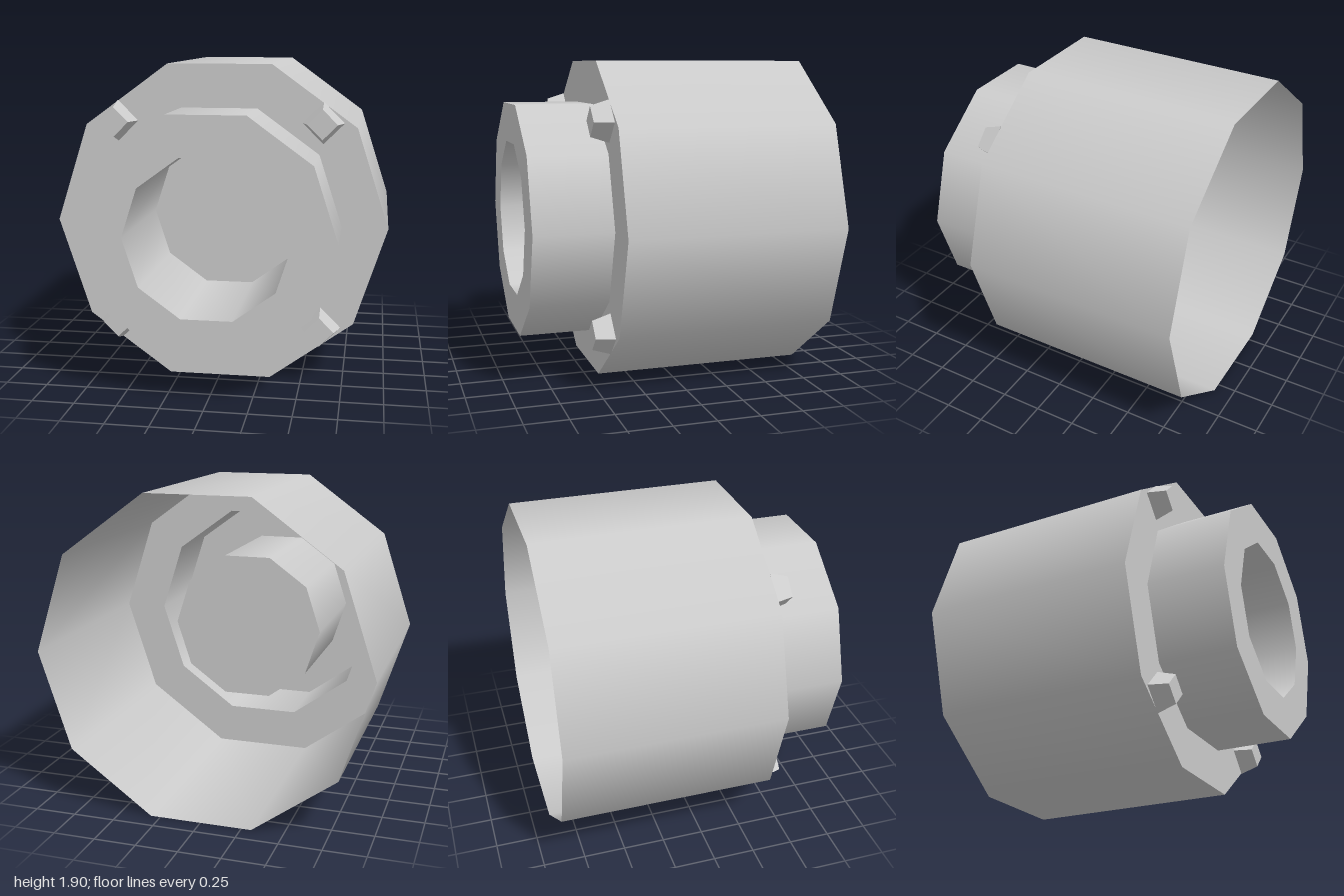
import * as THREE from 'three';

const SIDES = 10;
const AXIS_Y = 0.951; // height of the central axis
const BACK = -0.885, SHOULDER = 0.42, FRONT = 0.885, BORE_END = 0.04;
const R_BODY = 1, R_NECK = 0.73, R_BORE = 0.482;

export function createModel() {
  const group = new THREE.Group();
  const grey = new THREE.MeshStandardMaterial({ color: 0xcccccc, side: THREE.DoubleSide });
  grey.name = 'light grey';

  function add(name, geometry, x, y, z) {
    const mesh = new THREE.Mesh(geometry, grey);
    mesh.name = name;
    mesh.position.set(x, y, z);
    group.add(mesh);
  }

  // open ten-sided wall along z, smooth around its sides
  function addTube(name, radius, z0, z1) {
    const g = new THREE.CylinderGeometry(radius, radius, z1 - z0, SIDES, 1, true, Math.PI / 2);
    g.rotateX(Math.PI / 2);
    add(name, g, 0, AXIS_Y, (z0 + z1) / 2);
  }

  // flat ten-sided ring facing +z
  function addRing(name, inner, outer, z) {
    add(name, new THREE.RingGeometry(inner, outer, SIDES), 0, AXIS_Y, z);
  }

  // wide shell, open at the back
  addTube('bodyShell', R_BODY, BACK, SHOULDER);
  addRing('shoulder', R_NECK, R_BODY, SHOULDER);

  // narrower neck with its front rim
  addTube('neck', R_NECK, SHOULDER, FRONT);
  addRing('neckRim', R_BORE, R_NECK, FRONT);

  // blind bore reaching back into the shell
  addTube('bore', R_BORE, BORE_END, FRONT);
  add('boreFloor', new THREE.CircleGeometry(R_BORE, SIDES), 0, AXIS_Y, BORE_END);

  // four tapered diamond studs on the shoulder
  const profile = [[0.122, 0], [0.087, 0.11], [0, 0.11]].map(([r, h]) => new THREE.Vector2(r, h));
  const stud = new THREE.LatheGeometry(profile, 4).toNonIndexed();
  stud.rotateX(Math.PI / 2);
  stud.computeVertexNormals();
  for (const sx of [-1, 1]) {
    for (const sy of [-1, 1]) {
      const name = (sy > 0 ? 'upper' : 'lower') + (sx > 0 ? 'Left' : 'Right') + 'Stud';
      add(name, stud, sx * 0.612, AXIS_Y + sy * 0.614, SHOULDER);
    }
  }

  return group;
}
